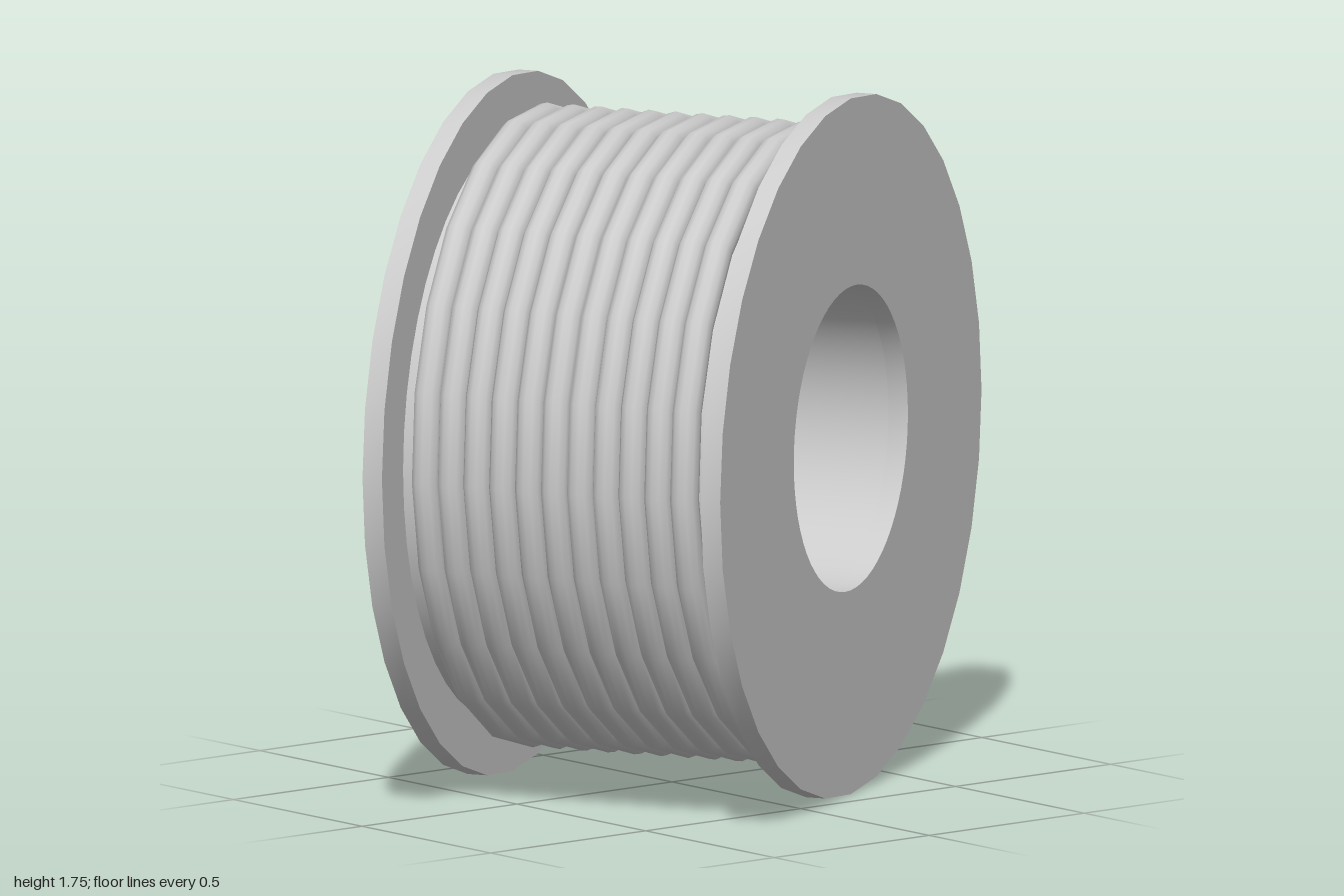
import * as THREE from 'three';
import { toCreasedNormals } from 'three/addons/utils/BufferGeometryUtils.js';

const R = 0.877;          // flange radius
const HALF = 0.478;       // half length of the spool
const FLANGE = 0.052;     // flange thickness
const WIRE = 0.036, WIND = 0.766; // wire radius, winding radius
const TURNS = 11, START = -0.26;  // START: angle of the loose ends
const Z0 = -0.39, Z1 = 0.37;

const circle = (r, n, y = 0) => Array.from({ length: n }, (_, i) => {
  const a = (i / n) * Math.PI * 2;
  return new THREE.Vector2(r * Math.cos(a), r * Math.sin(a) + y);
});

// Disc with the shared bore, from z to z + depth
function ring(radius, sides, z, depth) {
  const shape = new THREE.Shape(circle(radius, sides));
  shape.holes.push(new THREE.Path(circle(0.383, 64, 0.02)));
  const geo = new THREE.ExtrudeGeometry(shape, { depth, bevelEnabled: false });
  return toCreasedNormals(geo.translate(0, 0, z), 0.35);
}

class Helix extends THREE.Curve {
  getPoint(t, target = new THREE.Vector3()) {
    const a = START + t * TURNS * Math.PI * 2;
    return target.set(WIND * Math.cos(a), WIND * Math.sin(a), Z0 + (Z1 - Z0) * t);
  }
}

export function createModel() {
  const mat = new THREE.MeshStandardMaterial({ color: 0xcccccc });
  const spool = new THREE.Group();
  spool.name = 'wireSpool';
  const add = (name, geo) => {
    const mesh = new THREE.Mesh(geo, mat);
    mesh.name = name;
    spool.add(mesh);
    return mesh;
  };

  // Reel: two flanges and the hollow core between them
  add('frontFlange', ring(R, 32, HALF - FLANGE, FLANGE));
  add('backFlange', ring(R, 32, -HALF, FLANGE));
  add('core', ring(0.735, 48, FLANGE - HALF, 2 * (HALF - FLANGE)));

  // Wound wire and its cut ends
  const helix = new Helix();
  add('windingWire', new THREE.TubeGeometry(helix, TURNS * 22, WIRE, 12, false));
  for (const [name, t, dir] of [['backWireEnd', 0, -1], ['frontWireEnd', 1, 1]]) {
    const cap = add(name, new THREE.CircleGeometry(WIRE, 12));
    const p = helix.getPoint(t);
    cap.position.copy(p);
    cap.quaternion.setFromUnitVectors(
      new THREE.Vector3(0, 0, 1), helix.getTangent(t).multiplyScalar(dir));
  }

  // Stand the spool on the ground, turned about the vertical
  spool.position.y = R;
  spool.rotation.y = THREE.MathUtils.degToRad(28.6);
  const model = new THREE.Group();
  model.name = 'spoolOfWire';
  model.add(spool);
  return model;
}
